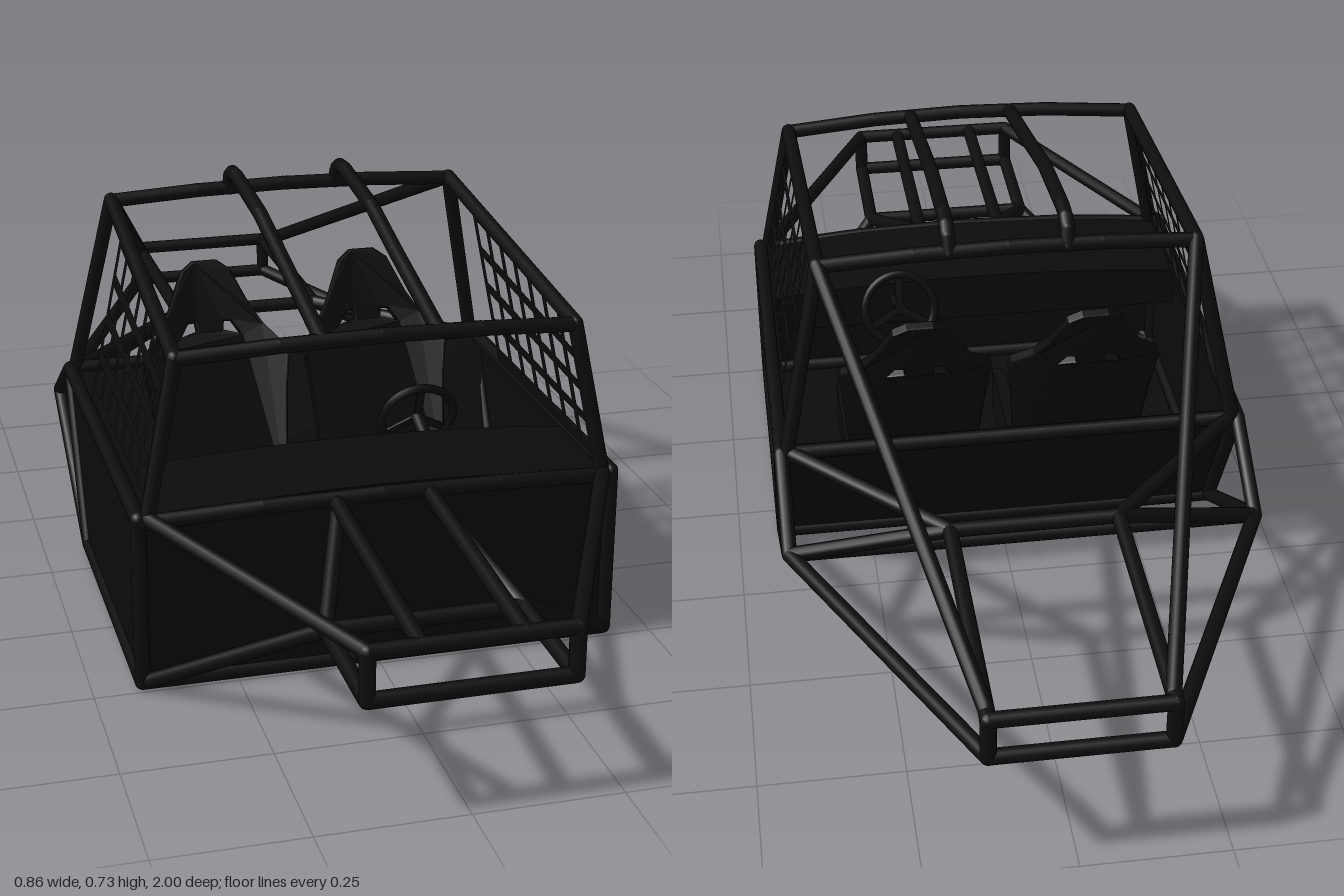
import * as THREE from 'three';

export function createModel() {
  const model = new THREE.Group();
  model.name = 'buggyChassis';
  const tubeMat = new THREE.MeshStandardMaterial({ color: 0x0d0d0d });
  tubeMat.name = 'black tube';
  const panelMat = new THREE.MeshStandardMaterial({ color: 0x0b0b0b, side: THREE.DoubleSide });
  panelMat.name = 'black panel';
  const V = (p) => new THREE.Vector3(...p);
  const R = 0.0135;

  const add = (name, geo, mat, parent = model) => {
    const m = new THREE.Mesh(geo, mat);
    m.name = name;
    parent.add(m);
    return m;
  };
  // Straight tubes through a list of joints
  const pipe = (name, pts, r = R) => {
    const g = new THREE.Group();
    g.name = name;
    pts.forEach((p, i) => {
      add('joint', new THREE.SphereGeometry(r, 12, 8), tubeMat, g).position.set(...p);
      if (!i) return;
      const a = V(pts[i - 1]), d = V(p).sub(a);
      const c = add('tube', new THREE.CylinderGeometry(r, r, d.length(), 12, 1, true), tubeMat, g);
      c.position.copy(a).addScaledVector(d, 0.5);
      c.quaternion.setFromUnitVectors(new THREE.Vector3(0, 1, 0), d.normalize());
    });
    model.add(g);
  };
  // Same tube on both sides
  const pair = (name, pts, r) => [1, -1].forEach((s) =>
    pipe((s > 0 ? 'left ' : 'right ') + name, pts.map(([x, y, z]) => [x * s, y, z]), r));
  // Tube from side to side, optionally raised or pushed in the middle
  const cross = (name, x, y, z, dy = 0, dz = 0) =>
    pipe(name, dy || dz
      ? [-1, -0.5, 0, 0.5, 1].map((t) => [t * x, y + dy * (1 - t * t), z + dz * (1 - t * t)])
      : [[-x, y, z], [x, y, z]]);
  const quad = (name, ...p) => {
    const g = new THREE.BufferGeometry();
    g.setAttribute('position', new THREE.Float32BufferAttribute(p.flat(), 3));
    g.setIndex([0, 1, 2, 0, 2, 3]);
    g.computeVertexNormals();
    return add(name, g, panelMat);
  };

  // Cockpit frame
  pair('tub frame', [[0.415, 0.315, 0.488], [0.415, 0.0145, 0.488], [0.415, 0.0145, -0.08],
    [0.415, 0.315, -0.245], [0.415, 0.315, 0.488]]);
  cross('front sill', 0.415, 0.0145, 0.488);
  cross('rear sill', 0.415, 0.0145, -0.08);
  cross('front cowl bar', 0.415, 0.308, 0.488, 0.015, 0.014);
  cross('rear deck bar', 0.415, 0.315, -0.25);

  // Tub panels
  const X = 0.417, top = 0.315;
  for (const s of [1, -1])
    quad('tub side', [s * X, 0.01, 0.488], [s * X, 0.01, -0.08], [s * X, top, -0.23], [s * X, top, 0.488]);
  quad('floor', [-X, 0.008, 0.488], [X, 0.008, 0.488], [X, 0.008, -0.08], [-X, 0.008, -0.08]);
  quad('front panel', [-X, 0.01, 0.492], [X, 0.01, 0.492], [X, top, 0.492], [-X, top, 0.492]);
  quad('rear panel', [-X, 0.01, -0.08], [X, 0.01, -0.08], [X, top, -0.225], [-X, top, -0.225]);

  // Dashboard with arched top
  const dash = new THREE.Shape();
  dash.moveTo(-0.41, 0.24);
  dash.lineTo(0.41, 0.24);
  dash.lineTo(0.41, 0.315);
  dash.quadraticCurveTo(0, 0.355, -0.41, 0.315);
  add('dashboard', new THREE.ExtrudeGeometry(dash, { depth: 0.215, bevelEnabled: false, curveSegments: 16 }), panelMat)
    .position.z = 0.275;

  // Roll cage
  pair('main hoop and roof rail', [[0.405, 0.315, -0.25], [0.333, 0.665, -0.195], [0.345, 0.585, 0.47], [0.4, 0.31, 0.488]]);
  cross('main hoop top', 0.333, 0.663, -0.195, 0.012);
  cross('windscreen top bar', 0.345, 0.583, 0.47, 0.014, 0.012);
  pair('roof hoop', [[0.1, 0.597, 0.475], [0.102, 0.655, 0.22], [0.104, 0.693, 0.06], [0.105, 0.713, -0.13],
    [0.105, 0.711, -0.165], [0.105, 0.7, -0.185], [0.104, 0.672, -0.197]]);

  // Rear frame
  const rx = 0.145, rz = -0.986;
  pair('rear stay', [[0.333, 0.665, -0.195], [rx, 0.32, -0.965]]);
  pair('rear upper rail', [[0.4, 0.315, -0.25], [rx, 0.318, -0.515], [rx, 0.318, rz], [rx, 0.243, rz]]);
  pair('rear lower rail', [[0.415, 0.0145, -0.08], [0.415, 0.212, -0.41], [rx, 0.243, rz]]);
  pair('rear shoulder brace', [[0.415, 0.315, -0.25], [0.415, 0.212, -0.41], [rx, 0.318, -0.515]]);
  cross('rear lower bar', 0.415, 0.212, -0.41);
  cross('rear upper bar', rx, 0.318, -0.515);
  cross('rear bumper top', rx, 0.318, rz);
  cross('rear bumper bottom', rx, 0.243, rz);

  // Front frame
  const fx = 0.165, fz = 0.986;
  pair('front upper rail', [[0.4, 0.315, 0.488], [fx, 0.293, fz], [fx, 0.212, fz]]);
  pair('front lower rail', [[0.41, 0.0145, 0.488], [fx, 0.212, 0.75], [fx, 0.212, fz]]);
  pair('front centre rail', [[0.082, 0.318, 0.49], [0.082, 0.293, fz]]);
  pair('front brace', [[fx, 0.212, 0.75], [0.085, 0.305, 0.525]]);
  cross('front lower bar', fx, 0.212, 0.75);
  cross('front bumper top', fx, 0.293, fz);
  cross('front bumper bottom', fx, 0.212, fz);

  // Window nets: straps between the sill and the roof rail
  const netPoint = (s, z, t) => {
    const k = (0.47 - z) / 0.665;
    const high = [0.345 - 0.012 * k, 0.585 + 0.08 * k], low = [0.402, 0.325];
    return [s * (low[0] + (high[0] - low[0]) * t), low[1] + (high[1] - low[1]) * t, z];
  };
  for (const s of [1, -1]) {
    for (let i = 0; i < 8; i++) {
      const z = 0.455 - i * 0.0725, w = 0.011;
      quad('net upright strap', netPoint(s, z - w, 0), netPoint(s, z + w, 0), netPoint(s, z + w, 1), netPoint(s, z - w, 1));
    }
    for (let j = 0; j < 5; j++) {
      const t = 0.03 + j * 0.228, w = 0.036;
      quad('net cross strap', netPoint(s, -0.063, t - w), netPoint(s, 0.465, t - w),
        netPoint(s, 0.465, t + w), netPoint(s, -0.063, t + w));
    }
  }

  // Seats
  const backShape = () => {
    const half = [[0.115, 0], [0.13, 0.2], [0.138, 0.262], [0.134, 0.28], [0.098, 0.325], [0.075, 0.365],
      [0.058, 0.405], [0.045, 0.435], [0.022, 0.453]];
    const sh = new THREE.Shape([...half, ...half.map(([x, y]) => [-x, y]).reverse()]
      .map(([x, y]) => new THREE.Vector2(x, y)));
    for (const s of [1, -1])
      sh.holes.push(new THREE.Path([[0.022, 0.318], [0.062, 0.308], [0.045, 0.34], [0.025, 0.342]]
        .map(([x, y]) => new THREE.Vector2(s * x, y))));
    return sh;
  };
  for (const s of [1, -1]) {
    const seat = new THREE.Group();
    seat.name = s > 0 ? 'left seat' : 'right seat';
    seat.position.set(s * 0.157, 0.1, 0);
    model.add(seat);
    // Back wraps forward towards its edges
    const geo = new THREE.ExtrudeGeometry(backShape(), { depth: 0.012, bevelThickness: 0.004, bevelSize: 0.004, bevelSegments: 2 });
    const p = geo.attributes.position;
    for (let i = 0; i < p.count; i++) p.setZ(i, p.getZ(i) + 2.2 * p.getX(i) ** 2);
    geo.computeVertexNormals();
    const back = add('seat back', geo, panelMat, seat);
    back.position.z = -0.045;
    back.rotation.x = -0.36;
    add('seat cushion', new THREE.BoxGeometry(0.23, 0.05, 0.26), panelMat, seat).position.set(0, 0, 0.07);
    add('seat base', new THREE.BoxGeometry(0.18, 0.07, 0.2), panelMat, seat).position.set(0, -0.055, 0.07);
    for (const e of [1, -1])
      add('seat bolster', new THREE.BoxGeometry(0.025, 0.09, 0.27), panelMat, seat).position.set(e * 0.118, 0.015, 0.065);
  }

  // Steering wheel
  const wheel = new THREE.Group();
  wheel.name = 'steeringWheel';
  wheel.position.set(0.157, 0.325, 0.19);
  wheel.rotation.x = 0.35;
  model.add(wheel);
  add('wheel rim', new THREE.TorusGeometry(0.068, 0.008, 8, 32), tubeMat, wheel);
  for (let i = 0; i < 3; i++) {
    const a = Math.PI / 6 + i * Math.PI * 2 / 3;
    const spoke = add('wheel spoke', new THREE.BoxGeometry(0.066, 0.014, 0.005), tubeMat, wheel);
    spoke.position.set(-Math.cos(a) * 0.034, -Math.sin(a) * 0.034, 0);
    spoke.rotation.z = a;
  }
  const column = add('steering column', new THREE.CylinderGeometry(0.012, 0.012, 0.12, 12), tubeMat, wheel);
  column.rotation.x = Math.PI / 2;
  column.position.z = 0.06;

  return model;
}
